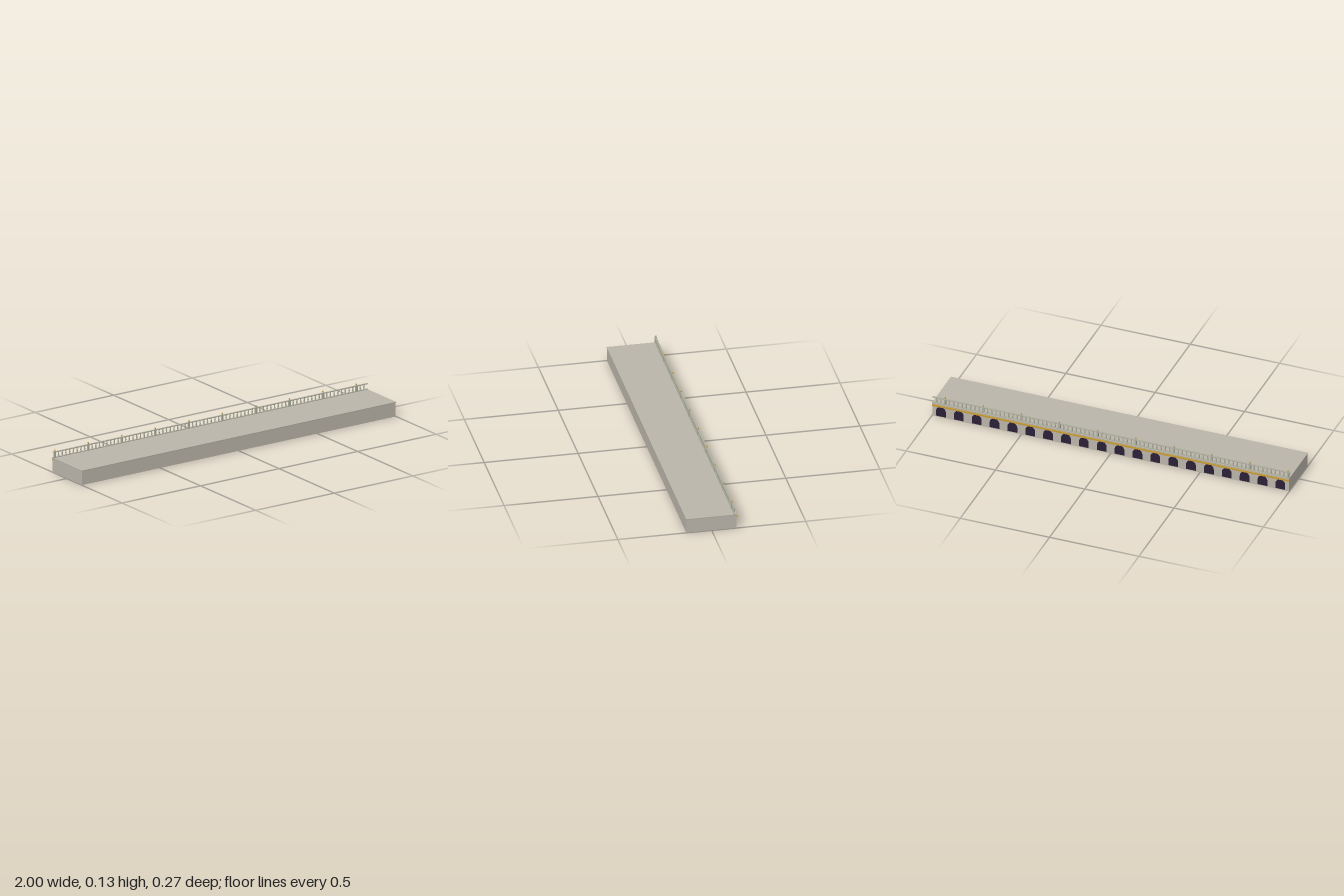
import * as THREE from 'three';

function material(name, color) {
  const m = new THREE.MeshStandardMaterial({ color });
  m.name = name;
  return m;
}

export function createModel() {
  const model = new THREE.Group();
  model.name = 'balustradedTerrace';
  const stone = material('warm stone', 0xbab5aa);
  const trim = material('pale trim stone', 0xacad9c);
  const gold = material('gold', 0xc79a35);
  const dark = material('dark opening', 0x2a2036);

  const add = (name, geometry, mat, x, y, z, parent = model) => {
    const mesh = new THREE.Mesh(geometry, mat);
    mesh.name = name;
    mesh.position.set(x, y, z);
    parent.add(mesh);
    return mesh;
  };
  // box placed by its y and z ranges
  const bar = (name, mat, width, y0, y1, z0, z1, x = 0, parent = model) =>
    add(name, new THREE.BoxGeometry(width, y1 - y0, z1 - z0), mat, x, (y0 + y1) / 2, (z0 + z1) / 2, parent);

  // main block, deck slab with a pale lip, and gold band on the back wall
  bar('wall', stone, 1.996, 0, 0.075, -0.131, 0.135);
  bar('deckLip', trim, 2, 0.075, 0.0785, -0.134, 0.1365);
  bar('deck', stone, 2, 0.0785, 0.08, -0.134, 0.1365);
  bar('goldBand', gold, 1.998, 0.0625, 0.0715, -0.1365, -0.131);

  // row of dark arched openings along the back wall
  const r = 0.027, base = 0.005, spring = 0.035;
  const arch = new THREE.Shape();
  arch.moveTo(-r, base);
  arch.lineTo(r, base);
  arch.lineTo(r, spring);
  arch.absarc(0, spring, r, 0, Math.PI, false);
  arch.lineTo(-r, base);
  const archGeometry = new THREE.ExtrudeGeometry(arch, { depth: 0.0015, bevelEnabled: false, curveSegments: 10 });
  const arches = new THREE.Group();
  arches.name = 'arches';
  model.add(arches);
  for (let i = 0; i < 20; i++) add('archOpening', archGeometry, dark, -0.95 + i * 0.1, 0, -0.1325, arches);

  // balustrade rails
  const railZ = -0.123;
  const balustrade = new THREE.Group();
  balustrade.name = 'balustrade';
  model.add(balustrade);
  bar('bottomRail', trim, 2, 0.08, 0.083, railZ - 0.005, railZ + 0.005, 0, balustrade);
  bar('topRail', trim, 2, 0.109, 0.113, railZ - 0.005, railZ + 0.005, 0, balustrade);

  // turned balusters, with a post and gold ball at every ninth place
  const profile = [[0.0042, 0], [0.0042, 0.003], [0.0026, 0.005], [0.0042, 0.010],
    [0.0036, 0.014], [0.0022, 0.020], [0.0038, 0.024], [0.0038, 0.026]];
  const balusterGeometry = new THREE.LatheGeometry(profile.map(([a, b]) => new THREE.Vector2(a, b)), 8);
  const ballGeometry = new THREE.SphereGeometry(0.0042, 10, 8);
  const neckGeometry = new THREE.CylinderGeometry(0.002, 0.003, 0.005, 8);
  for (let i = 0; i < 84; i++) {
    const x = -0.99 + i * 0.0237;
    if (i % 9 === 0) {
      bar('post', trim, 0.01, 0.08, 0.114, railZ - 0.0053, railZ + 0.0053, x, balustrade);
      add('postNeck', neckGeometry, trim, x, 0.1155, railZ, balustrade);
      add('postBall', ballGeometry, gold, x, 0.121, railZ, balustrade);
    } else {
      add('baluster', balusterGeometry, trim, x, 0.083, railZ, balustrade);
    }
  }
  return model;
}
